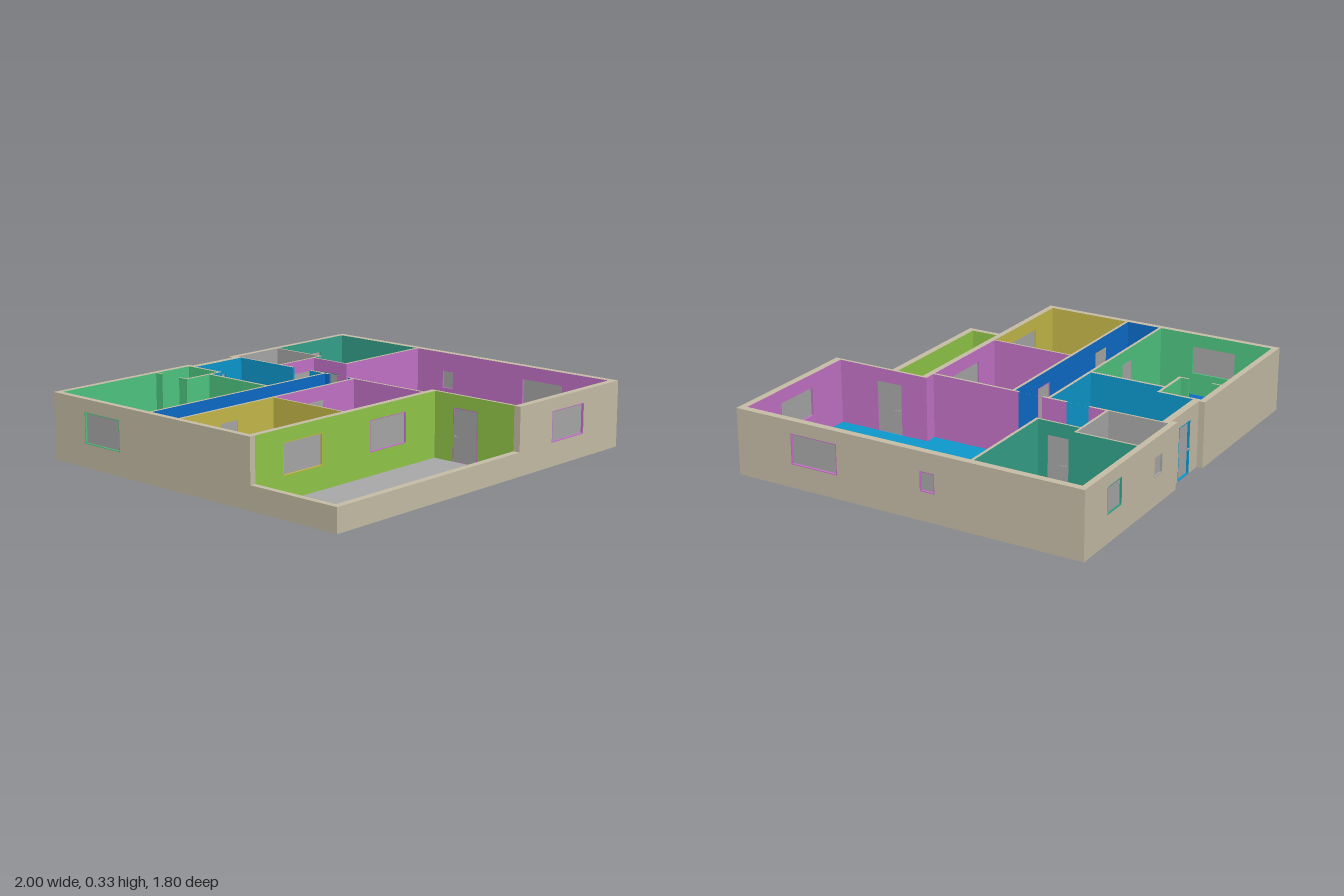
import * as THREE from 'three';
import { mergeGeometries } from 'three/addons/utils/BufferGeometryUtils.js';

const H = 0.328, LOW = 0.115, HEAD = 0.265;

const hex = {
  tan: 0xc8bfa8, blue: 0x0d6dcb, lime: 0x93ca49, grey: 0xaaaaaa, teal: 0x35a48c,
  cyan: 0x0d9acf, purple: 0xc774ca, yellow: 0xc8bb4a, red: 0xc80f22, green: 0x4fc882,
};

// Rooms as [x, z] corners, running from back left to back right and round
const rooms = [
  { name: 'bedroom', floor: 'blue', wall: 'green', pts: [[-0.97, -0.87], [-0.385, -0.87], [-0.385, -0.825],
    [-0.375, -0.825], [-0.375, -0.87], [-0.165, -0.87], [-0.165, -0.665], [-0.375, -0.665], [-0.375, -0.705],
    [-0.385, -0.705], [-0.385, -0.65], [-0.235, -0.65], [-0.235, -0.265], [-0.97, -0.265]] },
  { name: 'entranceHall', floor: 'lime', wall: 'cyan', pts: [[-0.15, -0.835], [0.165, -0.835], [0.165, -0.47],
    [0.1775, -0.47], [0.1775, -0.355], [0.165, -0.355], [0.165, -0.265], [-0.22, -0.265], [-0.22, -0.65], [-0.15, -0.65]] },
  { name: 'bathroom', floor: 'grey', wall: 'grey', pts: [[0.175, -0.87], [0.465, -0.87], [0.465, -0.57], [0.175, -0.57]] },
  { name: 'study', floor: 'teal', wall: 'teal', pts: [[0.475, -0.87], [0.965, -0.87], [0.965, -0.345],
    [0.42, -0.345], [0.42, -0.557], [0.475, -0.557]] },
  { name: 'livingRoom', floor: 'cyan', wall: 'purple', pts: [[0.178, -0.557], [0.41, -0.557], [0.41, -0.33],
    [0.965, -0.33], [0.965, 0.865], [0.24, 0.865], [0.24, 0.37], [0.178, 0.37]] },
  { name: 'corridor', floor: 'purple', wall: 'blue', pts: [[-0.97, -0.25], [0.165, -0.25], [0.165, -0.225],
    [0.1775, -0.225], [0.1775, -0.1], [0.165, -0.1], [0.165, -0.075], [-0.97, -0.075]] },
  { name: 'yellowRoom', floor: 'yellow', wall: 'yellow', pts: [[-0.97, -0.06], [-0.39, -0.06], [-0.39, 0.37], [-0.97, 0.37]] },
  { name: 'redRoom', floor: 'red', wall: 'purple', pts: [[-0.38, -0.06], [0.165, -0.06], [0.165, 0.37], [-0.38, 0.37]] },
  { name: 'terrace', floor: 'grey', wall: 'lime', pts: [[-0.97, 0.4], [0.225, 0.4], [0.225, 0.865], [-0.97, 0.865]],
    heights: [H, H, LOW, LOW] },
];

// Openings: wall runs along `axis`, between planes p0 and p1, from a to b
const open = (kind, axis, p0, p1, a, b, y0, y1, lining) => ({ kind, axis, p0, p1, a, b, y0, y1, lining });
const openings = [
  open('gap', 'z', 0.165, 0.178, -0.47, -0.355, 0, H),
  open('gap', 'z', 0.165, 0.178, -0.225, -0.1, 0, H),
  open('window', 'x', 0.865, 0.9, 0.47, 0.72, LOW, HEAD, 'purple'),
  open('window', 'x', 0.37, 0.4, -0.8, -0.55, LOW, HEAD, 'yellow'),
  open('window', 'x', 0.37, 0.4, -0.235, 0.015, LOW, HEAD, 'purple'),
  open('window', 'z', 0.965, 1, 0.35, 0.6, LOW, HEAD, 'purple'),
  open('window', 'z', 0.965, 1, -0.165, -0.09, 0.14, 0.235, 'purple'),
  open('window', 'z', -1, -0.97, -0.68, -0.44, LOW, HEAD, 'green'),
  open('window', 'x', -0.9, -0.87, 0.67, 0.8, 0.135, HEAD, 'teal'),
  open('window', 'x', -0.9, -0.87, 0.285, 0.36, 0.14, 0.235, 'grey'),
  open('door', 'x', -0.87, -0.835, -0.055, 0.06, 0, HEAD, 'cyan'),
  open('door', 'x', -0.265, -0.25, -0.655, -0.545, 0, HEAD, 'green'),
  open('door', 'x', -0.075, -0.06, -0.73, -0.62, 0, HEAD, 'yellow'),
  open('door', 'x', -0.075, -0.06, -0.155, -0.045, 0, HEAD, 'purple'),
  open('door', 'x', -0.57, -0.557, 0.265, 0.385, 0, HEAD, 'grey'),
  open('door', 'z', 0.41, 0.42, -0.505, -0.39, 0, HEAD, 'teal'),
  open('door', 'z', 0.225, 0.24, 0.51, 0.655, 0, HEAD, 'purple'),
];

// Upright rectangle facing right of the walk from a to b
function quad(a, b, y0, y1) {
  const g = new THREE.PlaneGeometry(Math.hypot(b[0] - a[0], b[1] - a[1]), y1 - y0);
  g.rotateY(Math.atan2(a[1] - b[1], b[0] - a[0]));
  return g.translate((a[0] + b[0]) / 2, (y0 + y1) / 2, (a[1] + b[1]) / 2);
}

// One wall face with its openings left out
function wallFace(a, b, y0, y1, out) {
  const i = a[1] === b[1] ? 0 : 1, axis = i === 0 ? 'x' : 'z';
  const dir = Math.sign(b[i] - a[i]), lo = Math.min(a[i], b[i]), hi = Math.max(a[i], b[i]), at = a[1 - i];
  const add = (s, e, h0, h1) => {
    if (e - s < 1e-5 || h1 - h0 < 1e-5) return;
    const p = i === 0 ? [[s, at], [e, at]] : [[at, s], [at, e]];
    out.push(dir > 0 ? quad(p[0], p[1], h0, h1) : quad(p[1], p[0], h0, h1));
  };
  const cuts = openings.filter(o => o.axis === axis && at > o.p0 - 0.003 && at < o.p1 + 0.003 &&
    o.a >= lo - 1e-6 && o.b <= hi + 1e-6 && o.y1 <= y1).sort((p, q) => p.a - q.a);
  let s = lo;
  for (const o of cuts) {
    add(s, o.a, y0, y1);
    add(o.a, o.b, y0, o.y0);
    add(o.a, o.b, o.y1, y1);
    s = o.b;
  }
  add(s, hi, y0, y1);
}

function planShape(pts, holes = []) {
  const toV = ps => ps.map(([x, z]) => new THREE.Vector2(x, -z));
  const s = new THREE.Shape(toV(pts));
  holes.forEach(h => s.holes.push(new THREE.Path(toV(h))));
  return s;
}
const flat = (pts, holes, y) => new THREE.ShapeGeometry(planShape(pts, holes)).rotateX(-Math.PI / 2).translate(0, y, 0);

export function createModel() {
  const model = new THREE.Group();
  model.name = 'house';
  const mat = {};
  for (const k in hex) {
    mat[k] = new THREE.MeshStandardMaterial({ color: hex[k] });
    mat[k].name = k;
  }
  const mesh = (parent, name, geo, color) => {
    const m = new THREE.Mesh(geo, mat[color]);
    m.name = name;
    parent.add(m);
    return m;
  };

  // Rooms: thin floor slab and painted wall faces
  for (const r of rooms) {
    const g = new THREE.Group();
    g.name = r.name;
    model.add(g);
    mesh(g, 'floor', new THREE.ExtrudeGeometry(planShape(r.pts), { depth: 0.004, bevelEnabled: false }).rotateX(-Math.PI / 2), r.floor);
    const faces = [];
    r.pts.forEach((p, i) => wallFace(p, r.pts[(i + 1) % r.pts.length], 0, r.heights ? r.heights[i] : H, faces));
    mesh(g, 'wallFaces', mergeGeometries(faces), r.wall);
  }

  // Outer walls; third value is the height of the run that starts there
  const outline = [[-1, 0.9, LOW], [0.225, 0.9, H], [1, 0.9, H], [1, -0.9, H], [0.14, -0.9, H], [0.14, -0.87, H],
    [-0.14, -0.87, H], [-0.14, -0.9, H], [-1, -0.9, H], [-1, 0.4, LOW]];
  const outer = [];
  outline.forEach((p, i) => wallFace(p, outline[(i + 1) % outline.length], 0, p[2], outer));
  outer.push(quad([-1, 0.4], [-0.97, 0.4], LOW, H), quad([0.225, 0.865], [0.225, 0.9], LOW, H));
  mesh(model, 'outerWalls', mergeGeometries(outer), 'tan');

  // Wall tops and underside
  const indoor = rooms.filter(r => r.name !== 'terrace').map(r => r.pts);
  const house = [...outline.slice(1), [0.225, 0.4]];
  mesh(model, 'wallTops', flat(house, indoor, H), 'tan');
  mesh(model, 'terraceWallTop', flat([[-1, 0.4], [-0.97, 0.4], [-0.97, 0.865], [0.225, 0.865], [0.225, 0.9], [-1, 0.9]], [], LOW), 'tan');
  const base = flat(outline, rooms.map(r => r.pts), 0);
  const index = base.index.array;
  for (let i = 0; i < index.length; i += 3) [index[i], index[i + 1]] = [index[i + 1], index[i]];
  base.computeVertexNormals();
  mesh(model, 'wallUnderside', base, 'tan');

  // Windows and doors, built along x and turned for walls along z
  for (const o of openings.filter(q => q.kind !== 'gap')) {
    const g = new THREE.Group(), w = o.b - o.a, h = o.y1 - o.y0, d = o.p1 - o.p0, t = 0.004;
    const mid = (o.a + o.b) / 2, at = (o.p0 + o.p1) / 2;
    g.name = o.kind;
    g.position.set(o.axis === 'x' ? mid : at, o.y0, o.axis === 'x' ? at : mid);
    if (o.axis === 'z') g.rotation.y = -Math.PI / 2;
    model.add(g);
    const box = (name, color, sx, sy, sz, x, y, z) =>
      mesh(g, name, new THREE.BoxGeometry(sx, sy, sz), color).position.set(x, y, z);
    for (const s of [-1, 1]) {
      box('sideLining', o.lining, t, h, d, s * (w - t) / 2, h / 2, 0);
      box('edgeLining', o.lining, w, t, d, 0, s > 0 ? h - t / 2 : t / 2, 0);
    }
    const thick = Math.min(d * 0.6, 0.012);
    box(o.kind === 'door' ? 'doorLeaf' : 'pane', 'grey', w - t, h - t, thick, 0, h / 2, 0);
    if (o.kind === 'door') for (const s of [-1, 1]) {
      const reach = thick / 2 + 0.016;
      box('handlePost', 'grey', 0.004, 0.004, reach, -w / 2 + 0.015, 0.13, s * reach / 2);
      box('handleLever', 'grey', 0.024, 0.005, 0.004, -w / 2 + 0.025, 0.13, s * reach);
    }
  }
  return model;
}
